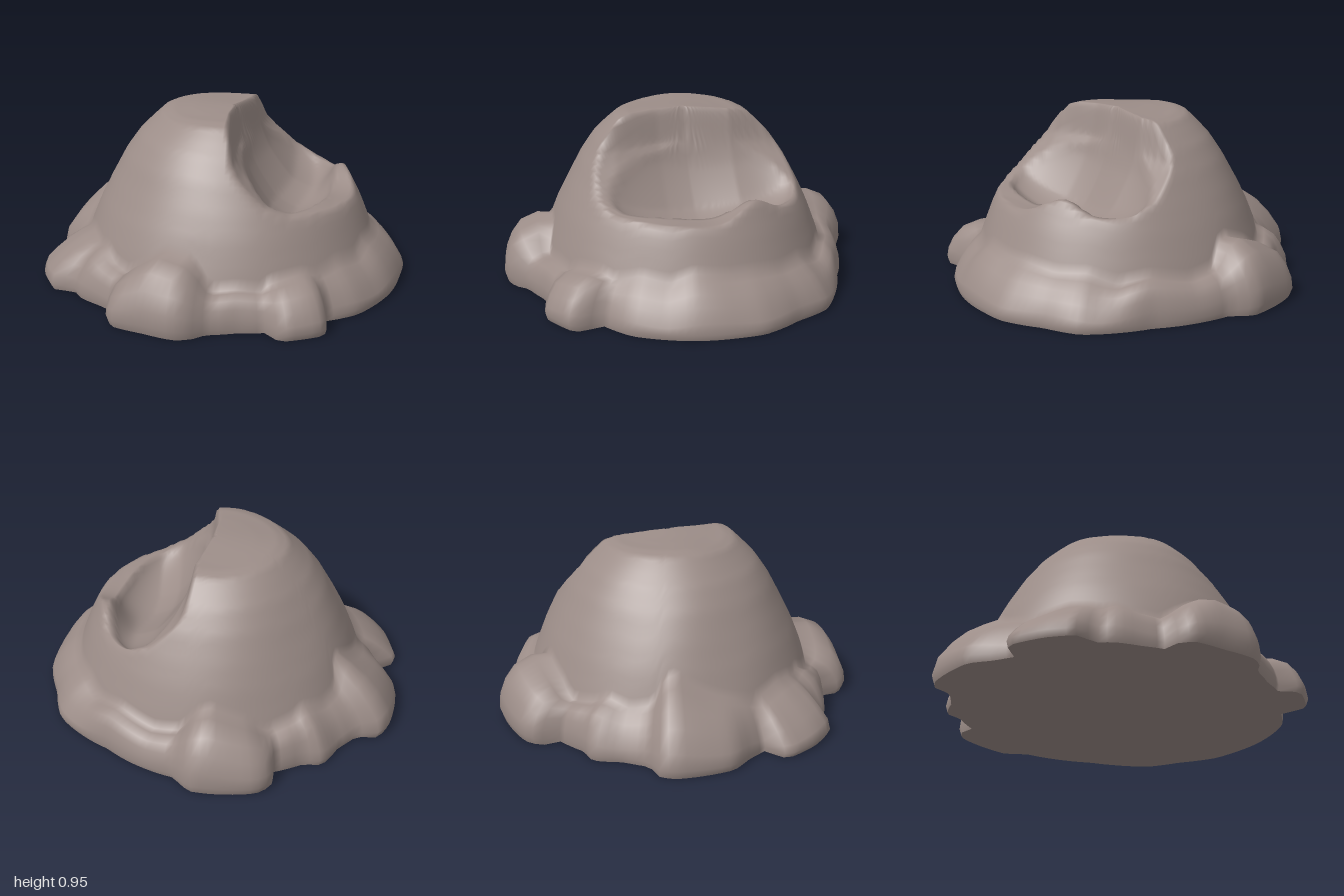
import * as THREE from 'three';

const CX = 0.03;      // centre of the dome
const SEG = 144;      // steps around
const DOME_ROWS = 44; // steps from the skirt to the summit

// Piecewise linear lookup through [input, output] pairs
function lookup(pairs, v) {
  if (v <= pairs[0][0]) return pairs[0][1];
  for (let i = 1; i < pairs.length; i++) {
    const [a, fa] = pairs[i - 1], [b, fb] = pairs[i];
    if (v <= b) return fa + (fb - fa) * (v - a) / (b - a);
  }
  return pairs[pairs.length - 1][1];
}

// Footprint of the rubble skirt: x, z, height of the rocks there
const OUTLINE = [
  [1, -0.02, 0.28], [0.97, 0.2, 0.29], [0.92, 0.33, 0.25], [0.83, 0.49, 0.28],
  [0.68, 0.6, 0.23], [0.71, 0.76, 0.25], [0.5, 0.88, 0.22], [0.41, 0.8, 0.19],
  [0.27, 0.84, 0.21], [0.12, 0.9, 0.2], [0.06, 0.97, 0.29], [-0.02, 1, 0.34],
  [-0.2, 0.97, 0.35], [-0.36, 0.94, 0.27], [-0.42, 0.88, 0.22], [-0.41, 0.77, 0.2],
  [-0.52, 0.72, 0.22], [-0.65, 0.66, 0.28], [-0.7, 0.6, 0.26], [-0.83, 0.6, 0.28],
  [-0.92, 0.48, 0.29], [-0.99, 0.28, 0.25], [-0.87, 0.21, 0.24], [-0.92, 0.1, 0.28],
  [-1, -0.02, 0.32], [-0.98, -0.34, 0.43], [-0.93, -0.4, 0.38], [-0.82, -0.41, 0.28],
  [-0.73, -0.52, 0.25], [-0.66, -0.67, 0.29], [-0.56, -0.68, 0.25], [-0.41, -0.77, 0.22],
  [-0.42, -0.88, 0.24], [-0.35, -0.95, 0.29], [-0.1, -1, 0.35], [0, -1, 0.33],
  [0.1, -0.91, 0.22], [0.27, -0.87, 0.2], [0.5, -0.76, 0.24], [0.67, -0.68, 0.22],
  [0.82, -0.57, 0.27], [0.9, -0.38, 0.25], [1, -0.16, 0.28],
];
const polar = OUTLINE.map(([x, z, h]) => {
  const a = Math.atan2(z, x - CX);
  return { a: a < 0 ? a + 2 * Math.PI : a, r: Math.hypot(x - CX, z), h };
}).sort((p, q) => p.a - q.a);
const first = polar[0], last = polar[polar.length - 1];
const loop = [{ ...last, a: last.a - 2 * Math.PI }, ...polar, { ...first, a: first.a + 2 * Math.PI }];
const RADIUS = loop.map(p => [p.a, p.r]);
const HEIGHT = loop.map(p => [p.a, p.h]);

// Dome profile, radius to height
const DOME = [[0, 0.95], [0.2, 0.948], [0.32, 0.942], [0.38, 0.925], [0.44, 0.87], [0.51, 0.8],
  [0.59, 0.69], [0.67, 0.55], [0.73, 0.43], [0.79, 0.28], [0.83, 0.16]];
const DOME_INVERSE = DOME.map(([r, y]) => [y, r]).reverse();

// Skirt profiles: fraction inward, fraction of rock height
const BLOCKY = [[0.06, 0], [0, 0.16], [0.03, 0.4], [0.15, 0.66], [0.35, 0.88], [0.7, 1]];
const SLOPING = [[0.05, 0], [0, 0.12], [0.06, 0.3], [0.28, 0.55], [0.5, 0.74], [0.78, 0.9]];
const SKIRT_ROWS = BLOCKY.length;

// The broken side: a cliff line, a slope and a scooped hollow
const CLIFF = [[-0.6, 0.08], [-0.45, 0.1], [-0.25, 0.12], [0, 0.08], [0.15, 0.08], [0.4, 0.12], [0.6, 0.13]];
const SLOPE = [[-0.05, 1], [-0.01, 0.92], [0.02, 0.78], [0.07, 0.71], [0.21, 0.58], [0.33, 0.525], [0.55, 0.5]];
function cutHeight(x, z) {
  const base = lookup(SLOPE, x - lookup(CLIFF, z));
  const d = 1 - ((x - 0.36) / 0.24) ** 2 - ((z + 0.03) / 0.5) ** 2;
  const bowl = 0.14 * Math.max(0, d) ** 0.7;
  const rimPeak = 0.08 * THREE.MathUtils.smoothstep(x, 0.46, 0.62) * Math.exp(-(((z + 0.22) / 0.14) ** 2));
  return base - bowl + rimPeak;
}

// Unevenness of the stone, between -1 and 1
const lumps = (x, y, z) =>
  (Math.sin(11 * x + 5 * z) + Math.sin(13 * z - 6 * y + 1) + Math.sin(9 * y + 8 * x - 7 * z)) / 3;

function moundGeometry() {
  const pos = [], index = [];
  const rows = SKIRT_ROWS + DOME_ROWS + 1;
  for (let j = 0; j < rows; j++) {
    for (let i = 0; i < SEG; i++) {
      const a = i / SEG * 2 * Math.PI;
      const R = lookup(RADIUS, a), h = lookup(HEIGHT, a);
      // the dome is slightly narrower from front to back
      const squash = 1 - 0.05 * Math.sin(a) ** 2;
      const rIn = lookup(DOME_INVERSE, h) * squash;
      let r, y;
      if (j < SKIRT_ROWS) {
        // boulders at front and back stand steeper than the sides
        const steep = THREE.MathUtils.smoothstep(Math.abs(Math.sin(a)), 0.62, 0.82);
        const inward = THREE.MathUtils.lerp(SLOPING[j][0], BLOCKY[j][0], steep);
        const up = THREE.MathUtils.lerp(SLOPING[j][1], BLOCKY[j][1], steep);
        r = R + (rIn - R) * inward;
        y = 0.01 + (h - 0.01) * up;
      } else {
        r = rIn * (1 - (j - SKIRT_ROWS) / DOME_ROWS);
        y = lookup(DOME, r / squash);
      }
      const x = CX + r * Math.cos(a), z = r * Math.sin(a);
      if (j >= SKIRT_ROWS) y = Math.min(y, cutHeight(x, z));
      if (j > 1) y += (j < SKIRT_ROWS ? 0.015 : 0.01) * lumps(x, y, z);
      pos.push(x, y, z);
    }
  }
  for (let j = 0; j < rows - 1; j++) {
    for (let i = 0; i < SEG; i++) {
      const k = (i + 1) % SEG;
      const a = j * SEG + i, b = j * SEG + k, c = a + SEG, d = b + SEG;
      index.push(a, c, b);
      if (j < rows - 2) index.push(b, c, d);
    }
  }
  const g = new THREE.BufferGeometry();
  g.setAttribute('position', new THREE.Float32BufferAttribute(pos, 3));
  g.setIndex(index);
  g.computeVertexNormals();
  return g;
}

// Flat base, sharing the lowest ring of the mound
function undersideGeometry(mound) {
  const p = mound.getAttribute('position');
  const ring = [];
  for (let i = 0; i < SEG; i++) ring.push(new THREE.Vector2(p.getX(i), p.getZ(i)));
  const g = new THREE.ShapeGeometry(new THREE.Shape(ring));
  g.rotateX(Math.PI / 2); // faces downward
  g.translate(0, 0.01, 0);
  return g;
}

export function createModel() {
  const stone = new THREE.MeshStandardMaterial({ color: 0x9c8d88 });
  stone.name = 'stone';
  const group = new THREE.Group();
  group.name = 'brokenRockMound';

  const geometry = moundGeometry();
  const mound = new THREE.Mesh(geometry, stone);
  mound.name = 'mound';
  const underside = new THREE.Mesh(undersideGeometry(geometry), stone);
  underside.name = 'underside';
  group.add(mound, underside);
  return group;
}
